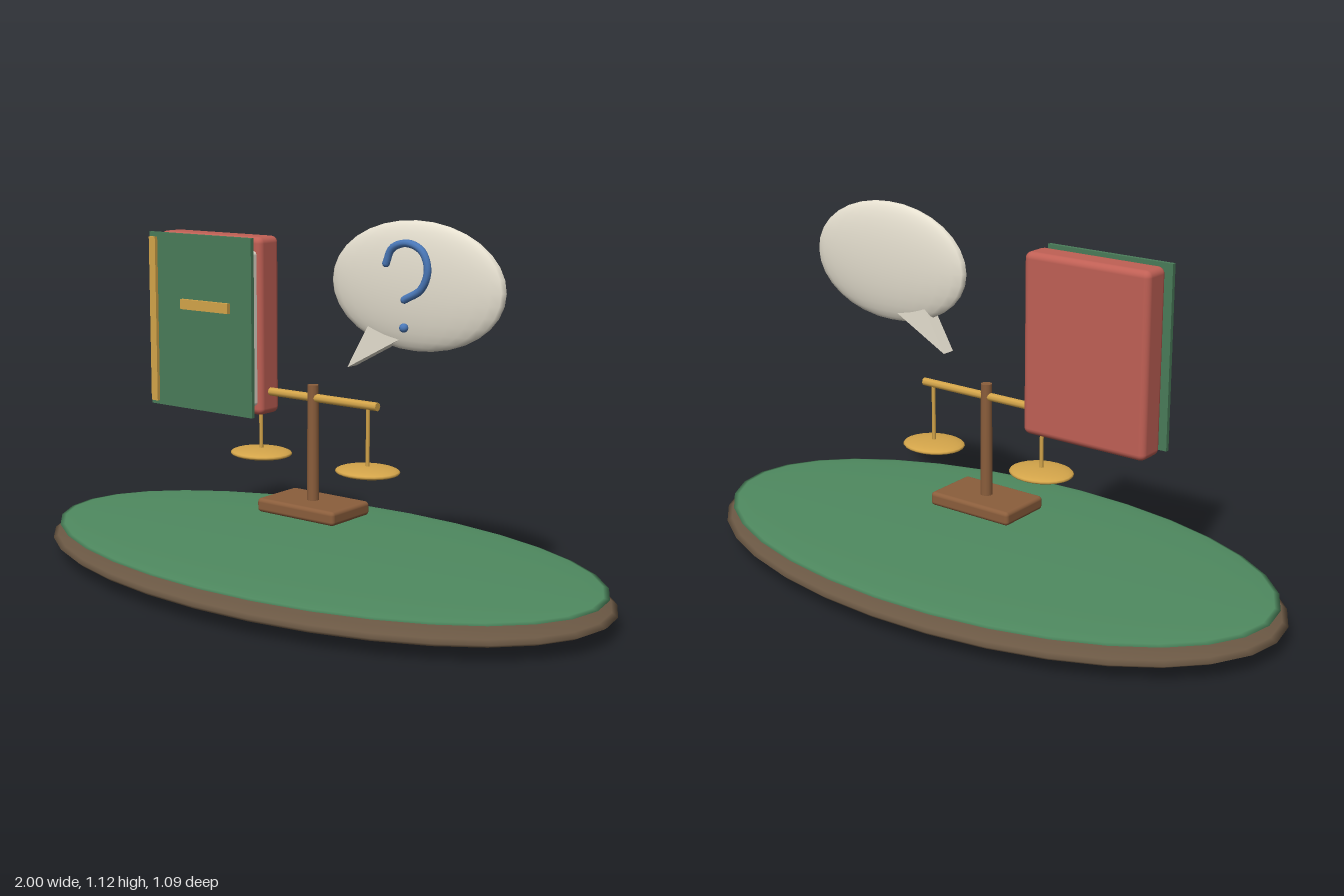
import * as THREE from 'three';
import { RoundedBoxGeometry } from 'three/addons/geometries/RoundedBoxGeometry.js';

const COLORS = {
  rim: 0x6b5844, felt: 0x4f8a60, wood: 0x8b5e3c, gold: 0xd4a54a,
  red: 0xc06055, cover: 0x4a7c59, cream: 0xe6e0d0, blue: 0x4a78b8,
};

export function createModel() {
  const model = new THREE.Group();
  model.name = 'studyTable';
  const materials = {};
  for (const key in COLORS) materials[key] = new THREE.MeshStandardMaterial({ color: COLORS[key] });

  const add = (name, geometry, color, x, y, z, parent = model) => {
    const mesh = new THREE.Mesh(geometry, materials[color]);
    mesh.name = name;
    mesh.position.set(x, y, z);
    parent.add(mesh);
    return mesh;
  };
  const group = (name) => {
    const g = new THREE.Group();
    g.name = name;
    model.add(g);
    return g;
  };
  const ellipsoid = (rx, ry, rz, w = 32, h = 16) =>
    new THREE.SphereGeometry(1, w, h).scale(rx, ry, rz);
  // box given by its min and max corners, with optional rounded edges
  const slab = (name, color, [x0, x1], [y0, y1], [z0, z1], radius, parent) => {
    const size = [x1 - x0, y1 - y0, z1 - z0];
    const geometry = radius
      ? new RoundedBoxGeometry(...size, 3, radius)
      : new THREE.BoxGeometry(...size);
    return add(name, geometry, color, (x0 + x1) / 2, (y0 + y1) / 2, (z0 + z1) / 2, parent);
  };

  // oval table top: wooden rim with a felt surface
  add('tableRim', ellipsoid(1, 0.055, 0.545), 'rim', 0, 0.06, 0);
  add('feltTop', ellipsoid(0.975, 0.018, 0.523), 'felt', 0, 0.105, 0);

  // balance scale
  const scale = group('balanceScale');
  slab('scaleFoot', 'wood', [-0.147, 0.147], [0.215, 0.258], [-0.092, 0.092], 0.012, scale);
  add('scalePost', new THREE.CylinderGeometry(0.017, 0.019, 0.37, 12), 'wood', 0, 0.427, 0, scale);
  add('scaleBeam', new THREE.CylinderGeometry(0.013, 0.013, 0.48, 8).rotateZ(Math.PI / 2),
    'gold', 0, 0.573, 0, scale);
  for (const [side, s] of [['left', 1], ['right', -1]]) {
    add(side + 'Hanger', new THREE.CylinderGeometry(0.006, 0.006, 0.195, 8), 'gold', s * 0.205, 0.472, 0, scale);
    add(side + 'Pan', ellipsoid(0.101, 0.016, 0.088, 24, 12), 'gold', s * 0.205, 0.376, 0, scale);
  }

  // book, standing upright with its cover to the front
  const book = group('book');
  slab('bookBody', 'red', [-0.583, -0.166], [0.502, 1.047], [-0.047, 0.047], 0.02, book);
  slab('pages', 'cream', [-0.545, -0.18], [0.532, 1.005], [0.035, 0.071], 0.012, book);
  slab('frontCover', 'cover', [-0.583, -0.165], [0.502, 1.047], [0.077, 0.09], 0, book);
  slab('spineStrip', 'gold', [-0.572, -0.546], [0.515, 1.033], [0.093, 0.104], 0, book);
  slab('titlePlate', 'gold', [-0.444, -0.25], [0.815, 0.846], [0.09, 0.102], 0, book);

  // speech bubble with its tail
  const bubble = group('speechBubble');
  add('bubbleBody', ellipsoid(0.297, 0.185, 0.041, 24, 16), 'cream', 0.371, 0.935, 0, bubble);
  const tail = new THREE.Shape([[0.145, 0.683], [0.335, 0.785], [0.218, 0.81]]
    .map(([x, y]) => new THREE.Vector2(x, y)));
  add('bubbleTail', new THREE.ExtrudeGeometry(tail, { depth: 0.044, bevelEnabled: false }),
    'cream', 0, 0, -0.022, bubble);

  // question mark: hook with rounded ends, and dot
  const mark = group('questionMark');
  const points = [[0.308, 1.0], [0.328, 1.043], [0.38, 1.06], [0.43, 1.04],
    [0.449, 0.988], [0.428, 0.935], [0.372, 0.902]]
    .map(([x, y]) => new THREE.Vector3(x, y, 0.059));
  const hook = new THREE.CatmullRomCurve3(points);
  add('markHook', new THREE.TubeGeometry(hook, 32, 0.011, 10), 'blue', 0, 0, 0, mark);
  for (const p of [points[0], points[points.length - 1]])
    add('markEnd', new THREE.SphereGeometry(0.011, 10, 8), 'blue', p.x, p.y, p.z, mark);
  add('markDot', new THREE.SphereGeometry(0.013, 16, 12), 'blue', 0.371, 0.823, 0.059, mark);

  return model;
}
